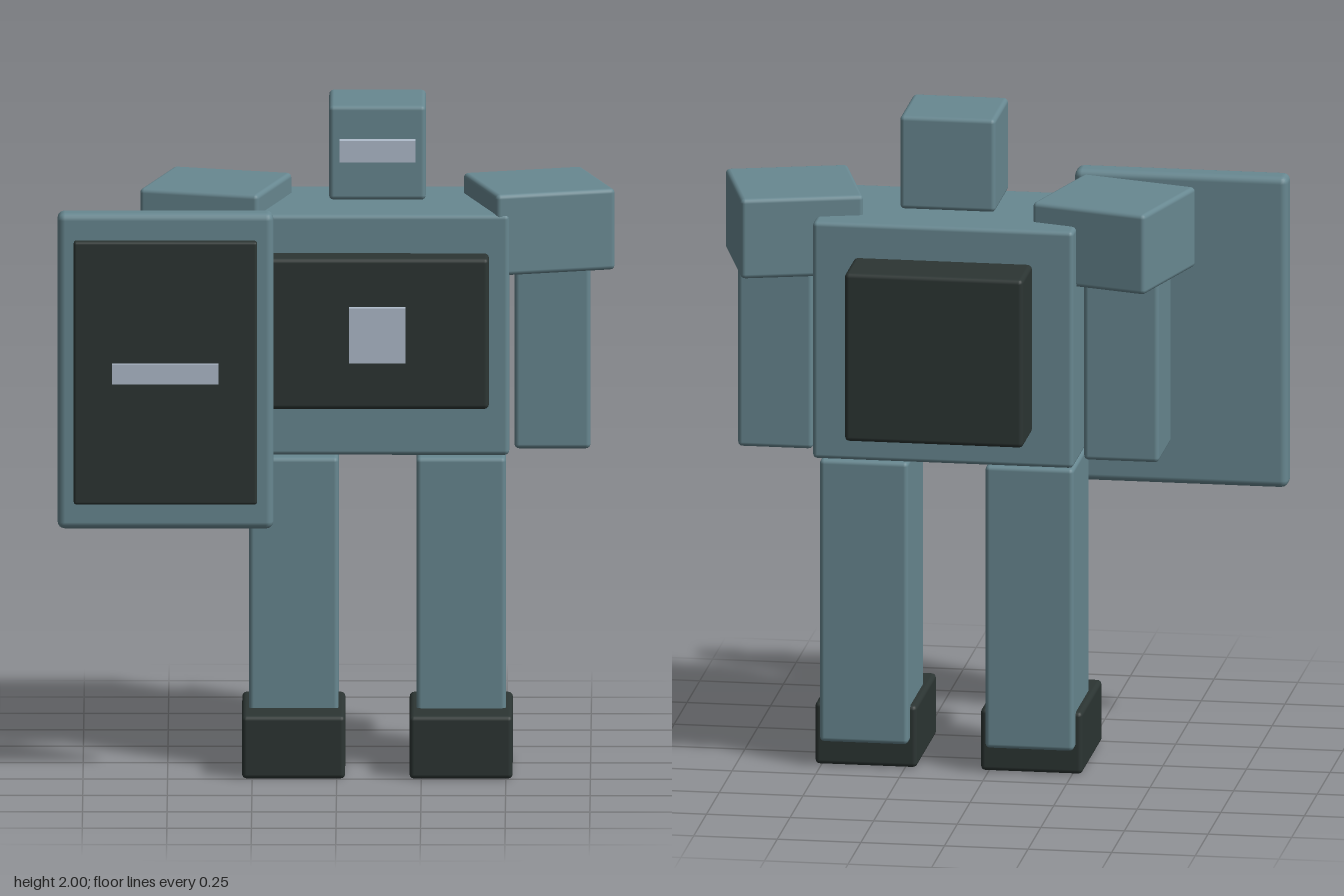
import * as THREE from 'three';
import { RoundedBoxGeometry } from 'three/addons/geometries/RoundedBoxGeometry.js';

const material = (name, color) => {
  const m = new THREE.MeshStandardMaterial({ color });
  m.name = name;
  return m;
};

export function createModel() {
  const armour = material('slate teal', 0x688891);
  const dark = material('charcoal', 0x2c3533);
  const pale = material('pale blue grey', 0xb0bccc);

  const model = new THREE.Group();
  model.name = 'shieldRobot';

  // The body is offset to its left, to balance the shield
  const body = new THREE.Group();
  body.name = 'body';
  body.position.x = 0.12;
  model.add(body);

  // Box between two corners; radius 0 gives sharp edges
  function block(parent, name, mat, [x0, x1], [y0, y1], [z0, z1], radius = 0.014) {
    const size = [x1 - x0, y1 - y0, z1 - z0];
    const geometry = radius
      ? new RoundedBoxGeometry(...size, 2, radius)
      : new THREE.BoxGeometry(...size);
    const mesh = new THREE.Mesh(geometry, mat);
    mesh.name = name;
    mesh.position.set((x0 + x1) / 2, (y0 + y1) / 2, (z0 + z1) / 2);
    parent.add(mesh);
    return mesh;
  }

  // Torso, chest plate and backpack
  block(body, 'torso', armour, [-0.39, 0.39], [0.965, 1.69], [-0.25, 0.2]);
  block(body, 'chestPlate', dark, [-0.33, 0.33], [1.12, 1.575], [0.15, 0.285]);
  block(body, 'chestBadge', pale, [-0.083, 0.083], [1.265, 1.43], [0.27, 0.31], 0);
  block(body, 'backpack', dark, [-0.267, 0.267], [1.07, 1.585], [-0.43, -0.22]);

  // Head and visor
  block(body, 'head', armour, [-0.143, 0.143], [1.715, 2], [-0.16, 0.105]);
  block(body, 'visor', pale, [-0.112, 0.112], [1.835, 1.9], [0.08, 0.135], 0);

  // Limbs, mirrored about the body's middle
  for (const side of [-1, 1]) {
    const label = side > 0 ? 'left' : 'right';
    const span = (a, b) => (side > 0 ? [a, b] : [-b, -a]);
    block(body, label + 'Leg', armour, span(0.115, 0.38), [0.08, 0.945], [-0.18, 0.13]);
    block(body, label + 'Foot', dark, span(0.095, 0.4), [0, 0.19], [-0.138, 0.253]);
    block(body, label + 'Arm', armour, span(0.405, 0.63), [0.965, 1.53], [-0.147, 0.1]);
    const pad = block(body, label + 'ShoulderPad', armour,
      span(0.295, 0.661), [1.505, 1.75], [-0.208, 0.158]);
    pad.rotation.y = side * 0.28;
  }

  // Shield
  const shield = new THREE.Group();
  shield.name = 'shield';
  model.add(shield);
  block(shield, 'shieldFrame', armour, [-0.825, -0.187], [0.778, 1.73], [0.31, 0.387], 0.022);
  block(shield, 'shieldPanel', dark, [-0.777, -0.235], [0.858, 1.65], [0.37, 0.413], 0.008);
  block(shield, 'shieldBar', pale, [-0.663, -0.349], [1.225, 1.285], [0.4, 0.432], 0);

  return model;
}
